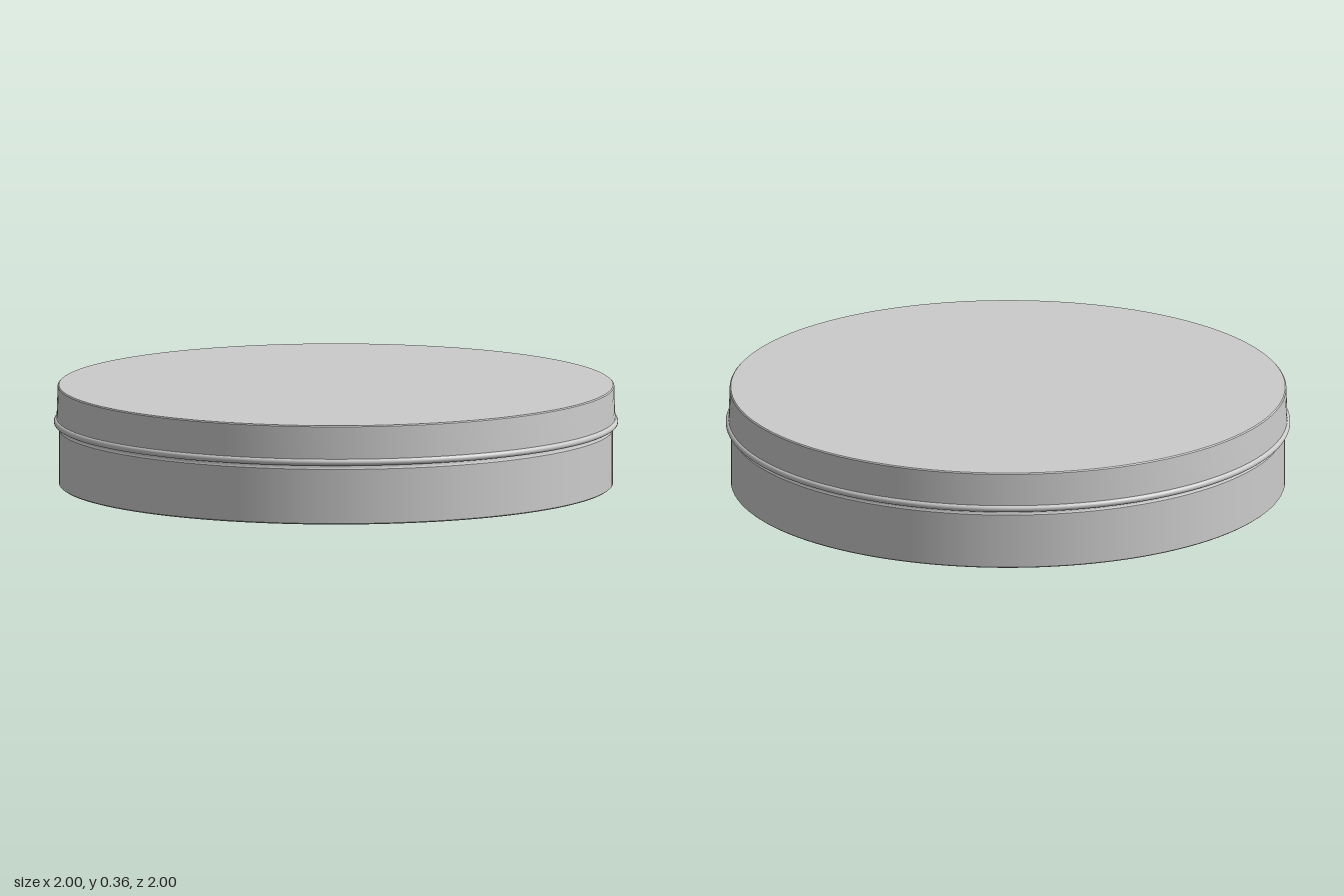
import * as THREE from 'three';

const SEGMENTS = 128;

// Lathe whose profile is a list of smooth runs; a doubled point between runs gives a sharp edge
function turned(name, runs, material) {
  const points = runs.flat().map(([r, y]) => new THREE.Vector2(r, y));
  const geometry = new THREE.LatheGeometry(points, SEGMENTS);
  geometry.normalizeNormals();
  const mesh = new THREE.Mesh(geometry, material);
  mesh.name = name;
  return mesh;
}

// Half-round bead profile around (r, y)
function bead(r, y, radius, steps = 10) {
  return Array.from({ length: steps + 1 }, (_, i) => {
    const a = -Math.PI / 2 + (Math.PI * i) / steps;
    return [r + radius * Math.cos(a), y + radius * Math.sin(a)];
  });
}

export function createModel() {
  const group = new THREE.Group();
  group.name = 'roundTin';
  const metal = new THREE.MeshStandardMaterial({ color: 0xcccccc });

  // Shallow base with a flat bottom, tucked up into the lid
  group.add(turned('base', [
    [[0, 0], [0.977, 0]],
    [[0.977, 0], [0.982, 0.004]],
    [[0.982, 0.004], [0.982, 0.198]],
    [[0.982, 0.198], [0.976, 0.204], [0.976, 0.23]],
    [[0.976, 0.23], [0, 0.23]],
  ], metal));

  // Lid with a slightly flared skirt and a barely domed top
  group.add(turned('lid', [
    [[0.976, 0.222], [0.99, 0.222]],
    [[0.99, 0.222], [0.99, 0.24], [0.986, 0.351]],
    [[0.986, 0.351], [0.982, 0.355]],
    [[0.982, 0.355], [0.6, 0.357], [0.2, 0.359], [0, 0.359]],
  ], metal));

  // Rolled edge at the bottom of the lid
  group.add(turned('lidRim', [
    [[0.976, 0.212], [0.988, 0.212]],
    bead(0.988, 0.224, 0.012),
  ], metal));

  return group;
}
